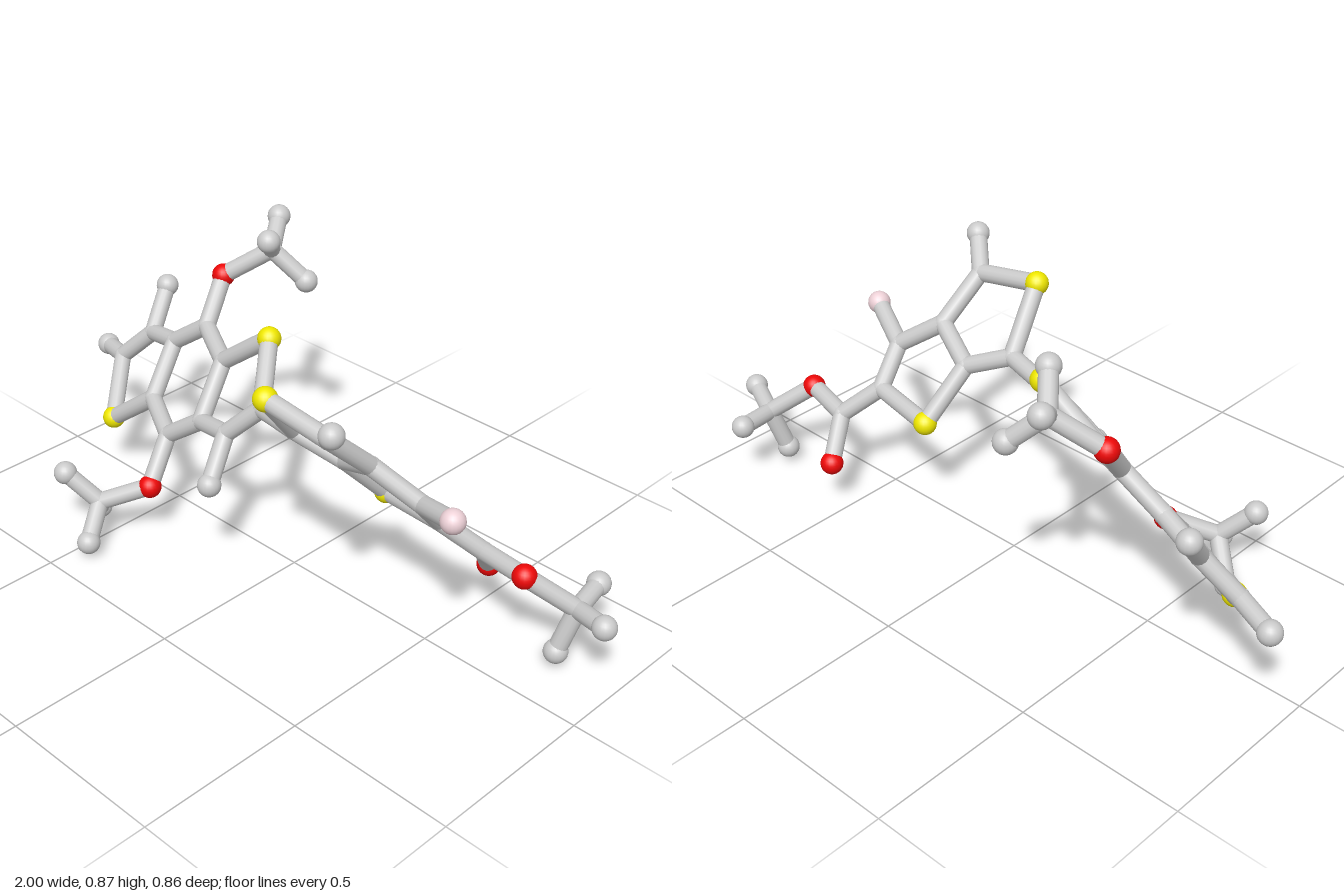
import * as THREE from 'three';

const BALL = 0.034, ROD = 0.026;
const UP = new THREE.Vector3(0, 1, 0);

const material = (color) => new THREE.MeshStandardMaterial({ color });
const grey = material(0xcccccc);
// S sulfur, O oxygen, F fluorine, H hydrogen end, C plain joint
const materials = { S: material(0xf0e800), O: material(0xee0808), F: material(0xeed2d8), H: grey, C: grey };
const names = { S: 'sulfur', O: 'oxygen', F: 'fluorine', H: 'hydrogen', C: 'carbonJoint' };

const ballGeometry = new THREE.SphereGeometry(BALL, 20, 14);
const jointGeometry = new THREE.SphereGeometry(ROD * 1.03, 16, 12);
const rodGeometry = new THREE.CylinderGeometry(ROD, ROD, 1, 14, 1, true);

// Atom keys start with their element letter.
const atoms = {
  // end thiophene ring, connecting joint
  C3: [-0.15, 0.428, 0.12], C4: [-0.05, 0.53, 0.076],
  // thieno-thiophene pair
  C5: [0.112, 0.545, 0.112], S3: [0.147, 0.712, 0.252], C6: [0.357, 0.677, 0.24],
  C7: [0.383, 0.553, 0.108], C8: [0.243, 0.487, 0.058], C9: [0.507, 0.463, 0.045],
  C10: [0.489, 0.358, -0.05], S4: [0.275, 0.341, -0.079],
  F1: [0.661, 0.518, 0.112], H6: [0.436, 0.752, 0.312],
  // ester tail
  C11: [0.58, 0.267, -0.13], O3: [0.532, 0.156, -0.221], O4: [0.74, 0.283, -0.098],
  C12: [0.85, 0.188, -0.19], H7: [0.965, 0.214, -0.145], H8: [0.821, 0.054, -0.153], H9: [0.829, 0.196, -0.312],
  // upper methoxy
  O1: [-0.516, 0.674, -0.221], C13: [-0.4, 0.765, -0.309],
  H10: [-0.329, 0.839, -0.227], H11: [-0.458, 0.827, -0.396], H12: [-0.312, 0.675, -0.363],
  // lower methoxy
  O2: [-0.386, 0.184, 0.208], C14: [-0.497, 0.127, 0.308],
  H13: [-0.58, 0.214, 0.363], H14: [-0.586, 0.036, 0.238], H15: [-0.446, 0.05, 0.398],
  // one half of the fused core
  C0: [-0.484, 0.553, -0.12], C1: [-0.329, 0.526, -0.04], C2: [-0.293, 0.392, 0.084],
  S1: [-0.158, 0.655, -0.06],
  // ring hydrogens
  H3: [-0.115, 0.317, 0.218], H4: [-0.789, 0.543, -0.234], H5: [-0.971, 0.307, -0.131],
};

// The other half of the core is the first half inverted through its centre.
const centre = [-0.451, 0.428, -0.008];
for (const key of ['C0', 'C1', 'C2', 'C3', 'C4', 'S1'])
  atoms[key + 'm'] = atoms[key].map((v, i) => 2 * centre[i] - v);

// Each part is a list of chains; consecutive atoms in a chain are bonded.
const parts = {
  fusedCore: [
    'C0 C1 C2 C0m C1m C2m C0',
    'C1 S1 C4 C3 C2', 'C1m S1m C4m C3m C2m',
    'C3 H3', 'C3m H4', 'C4m H5',
  ],
  thiophenePair: [
    'C4 C5 S3 C6 C7 C8 C5', 'C7 C9 C10 S4 C8', 'C9 F1', 'C6 H6',
  ],
  esterTail: ['C10 C11 O3', 'C11 O4 C12 H7', 'C12 H8', 'C12 H9'],
  upperMethoxy: ['C0 O1 C13 H10', 'C13 H11', 'C13 H12'],
  lowerMethoxy: ['C0m O2 C14 H13', 'C14 H14', 'C14 H15'],
};

function rod(a, b) {
  const start = new THREE.Vector3(...a), span = new THREE.Vector3(...b).sub(start);
  const mesh = new THREE.Mesh(rodGeometry, grey);
  mesh.name = 'bond';
  mesh.position.copy(start).addScaledVector(span, 0.5);
  mesh.scale.y = span.length();
  mesh.quaternion.setFromUnitVectors(UP, span.normalize());
  return mesh;
}

function ball(key) {
  const element = key[0];
  const mesh = new THREE.Mesh(element === 'C' ? jointGeometry : ballGeometry, materials[element]);
  mesh.name = names[element];
  mesh.position.set(...atoms[key]);
  return mesh;
}

export function createModel() {
  const model = new THREE.Group();
  model.name = 'moleculeModel';
  const placed = new Set();
  for (const [name, chains] of Object.entries(parts)) {
    const group = new THREE.Group();
    group.name = name;
    for (const chain of chains) {
      const keys = chain.split(' ');
      keys.forEach((key, i) => {
        if (!placed.has(key)) group.add(ball(key));
        placed.add(key);
        if (i > 0) group.add(rod(atoms[keys[i - 1]], atoms[key]));
      });
    }
    model.add(group);
  }
  return model;
}
